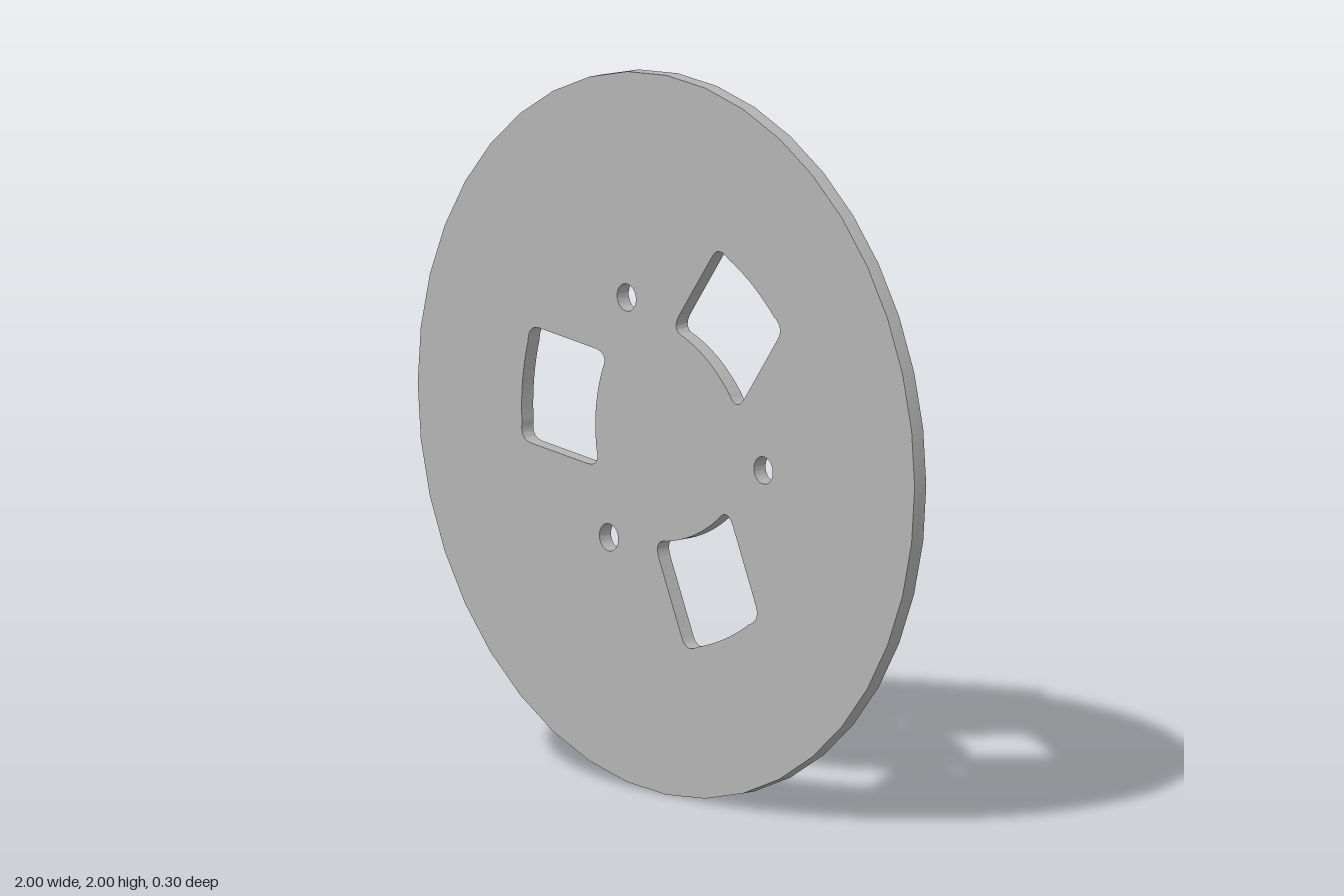
import * as THREE from 'three';
import { toCreasedNormals } from 'three/addons/utils/BufferGeometryUtils.js';

const grey = new THREE.MeshStandardMaterial({ color: 0xb4b4b4 });
grey.name = 'plain grey';

function add(parent, name, geometry) {
  const mesh = new THREE.Mesh(geometry, grey);
  mesh.name = name;
  parent.add(mesh);
  return mesh;
}

// Box given by its limits on each axis
function box(parent, name, x0, x1, y0, y1, z0, z1) {
  const mesh = add(parent, name, new THREE.BoxGeometry(x1 - x0, y1 - y0, z1 - z0));
  mesh.position.set((x0 + x1) / 2, (y0 + y1) / 2, (z0 + z1) / 2);
}

// Rounded window, drawn in radial (u) and sideways (v) directions
function windowHole(angle) {
  const c = Math.cos(angle), s = Math.sin(angle);
  const p = (u, v) => [u * c - (v - 0.005) * s, u * s + (v - 0.005) * c];
  const path = new THREE.Path();
  const curve = (a, b, d, e) => path.quadraticCurveTo(...p(a, b), ...p(d, e));
  path.moveTo(...p(0.31, 0.163));
  path.lineTo(...p(0.53, 0.163));
  curve(0.575, 0.163, 0.572, 0.115);
  curve(0.592, 0, 0.572, -0.115);
  curve(0.575, -0.163, 0.53, -0.163);
  path.lineTo(...p(0.31, -0.163));
  curve(0.25, -0.163, 0.27, -0.115);
  curve(0.3, 0, 0.27, 0.115);
  curve(0.25, 0.163, 0.31, 0.163);
  return path;
}

// Thin disc with three windows and three bolt holes
function buildDisc(parent) {
  const shape = new THREE.Shape();
  shape.absarc(0, 0, 1, 0, Math.PI * 2, false);
  for (let i = 0; i < 3; i++) {
    const turn = (i * Math.PI * 2) / 3;
    shape.holes.push(windowHole(THREE.MathUtils.degToRad(54) + turn));
    const a = THREE.MathUtils.degToRad(-6) + turn;
    const hole = new THREE.Path();
    hole.absarc(0.393 * Math.cos(a), 0.393 * Math.sin(a), 0.038, 0, Math.PI * 2, true);
    shape.holes.push(hole);
  }
  const geo = new THREE.ExtrudeGeometry(shape, { depth: 0.043, bevelEnabled: false, curveSegments: 20 });
  add(parent, 'disc', toCreasedNormals(geo, 0.6)).position.set(0, 1, 0.105);
}

// Small socket floating behind the disc: open shell, pins, side wings
function buildSocket(parent) {
  const g = new THREE.Group();
  g.name = 'socket';
  g.position.set(-0.265, 1.632, 0);
  g.rotation.z = THREE.MathUtils.degToRad(24);
  parent.add(g);

  box(g, 'socketBase', -0.12, 0.12, -0.055, 0.061, -0.03, 0.05);

  // Upper wall with keyway slot
  const wall = new THREE.Shape();
  [[-0.12, 0.03], [-0.12, 0.148], [-0.03, 0.148], [-0.03, 0.09], [-0.042, 0.09], [-0.042, 0.035],
    [-0.004, 0.035], [-0.004, 0.09], [-0.022, 0.09], [-0.022, 0.148], [0.12, 0.148], [0.12, 0.03]]
    .forEach(([x, y], i) => (i ? wall.lineTo(x, y) : wall.moveTo(x, y)));
  const wallGeo = new THREE.ExtrudeGeometry(wall, { depth: 0.016, bevelEnabled: false });
  wallGeo.rotateX(-Math.PI / 2);
  add(g, 'upperWall', wallGeo).position.y = 0.045;

  for (const side of [-1, 1]) {
    const b = (name, x0, x1, ...rest) =>
      box(g, name, Math.min(side * x0, side * x1), Math.max(side * x0, side * x1), ...rest);
    b('endWall', 0.104, 0.12, -0.061, 0.061, -0.148, -0.03);
    b('lowerWall', 0.065, 0.104, -0.061, -0.047, -0.148, -0.03);
    b('lowerRib', 0.05, 0.065, -0.061, -0.03, -0.1, -0.03);
    // Wings with anchor tabs
    b('wing', 0.12, 0.178, -0.025, 0.055, -0.05, 0.045);
    b('wingStep', 0.12, 0.15, -0.055, -0.025, -0.02, 0.045);
    b('anchorTab', 0.125, 0.187, -0.058, 0.058, 0.045, 0.055);
    b('anchorLeg', 0.178, 0.187, -0.01, 0.04, -0.01, 0.045);
  }

  // Contacts and their solder feet
  for (let i = 0; i < 4; i++) {
    const x = (i - 1.5) * 0.052;
    box(g, 'contactPin', x - 0.006, x + 0.006, -0.012, 0.008, -0.125, -0.03);
    box(g, 'solderFoot', x - 0.01, x + 0.01, -0.075, -0.05, 0.035, 0.055);
    box(g, 'upperFoot', x - 0.01, x + 0.01, 0.055, 0.068, 0.035, 0.055);
  }
}

export function createModel() {
  const model = new THREE.Group();
  model.name = 'discWithSocket';
  buildDisc(model);
  buildSocket(model);
  return model;
}
